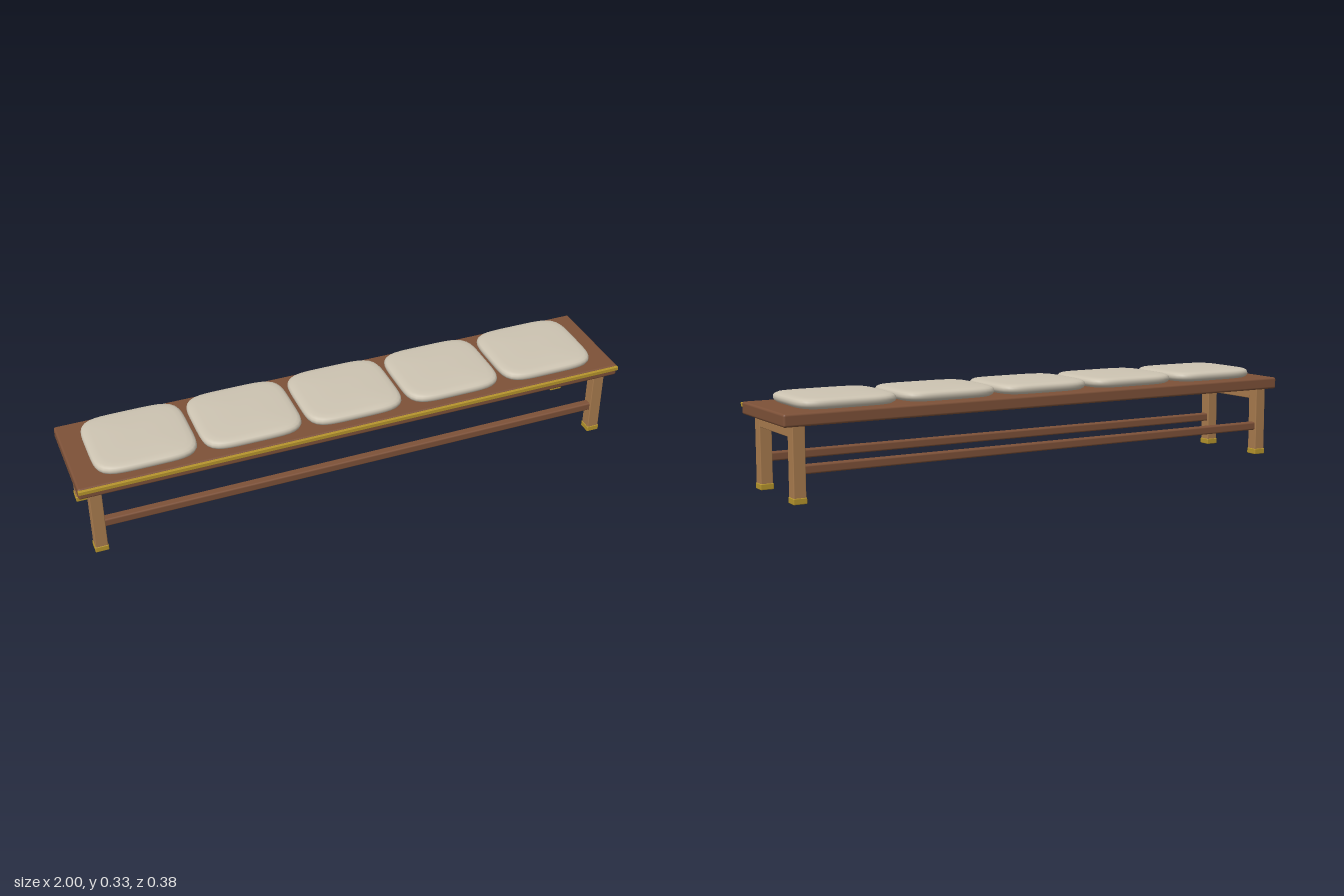
import * as THREE from 'three';
import { mergeVertices } from 'three/addons/utils/BufferGeometryUtils.js';
import { RoundedBoxGeometry } from 'three/addons/geometries/RoundedBoxGeometry.js';

const mat = (name, color) => {
  const m = new THREE.MeshStandardMaterial({ color });
  m.name = name;
  return m;
};

// Padded square: a lathed edge profile stretched onto a superellipse plan
function cushionGeometry(halfX, halfZ) {
  const profile = [
    [0, 0], [0.85, 0], [0.93, 0.003], [0.98, 0.009], [1, 0.017], [0.995, 0.025],
    [0.97, 0.031], [0.92, 0.035], [0.82, 0.037], [0.5, 0.039], [0, 0.04],
  ].map(([r, y]) => new THREE.Vector2(r, y));
  let geo = new THREE.LatheGeometry(profile, 64);
  const p = geo.attributes.position;
  const n = 5;
  for (let i = 0; i < p.count; i++) {
    const x = p.getX(i), z = p.getZ(i);
    const r = Math.hypot(x, z);
    if (r < 1e-6) continue;
    const k = 1 / Math.pow(Math.pow(Math.abs(x / r), n) + Math.pow(Math.abs(z / r), n), 1 / n);
    p.setX(i, x * k * halfX);
    p.setZ(i, z * k * halfZ);
  }
  geo.deleteAttribute('uv');
  geo.deleteAttribute('normal');
  geo = mergeVertices(geo, 1e-5);
  geo.computeVertexNormals();
  return geo;
}

export function createModel() {
  const group = new THREE.Group();
  group.name = 'bench';
  const darkWood = mat('dark wood', 0x7d5138);
  const lightWood = mat('light wood', 0xa87b4e);
  const brass = mat('brass', 0xb5942c);
  const fabric = mat('cream fabric', 0xcdc4b2);

  const box = (name, material, [w, h, d], [x, y, z], radius) => {
    const mesh = new THREE.Mesh(new RoundedBoxGeometry(w, h, d, 3, radius), material);
    mesh.name = name;
    mesh.position.set(x, y, z);
    group.add(mesh);
  };

  // Seat plank and the brass strip along its front edge
  box('seat', darkWood, [2, 0.043, 0.375], [0, 0.2735, -0.0025], 0.008);
  box('frontTrim', brass, [2, 0.014, 0.014], [0, 0.284, 0.187], 0.0015);

  // Leg frames with brass feet
  const legX = 0.942, midZ = -0.003, legZ = 0.145;
  for (const sx of [-1, 1]) {
    box('legRail', lightWood, [0.04, 0.04, 0.325], [sx * legX, 0.233, midZ], 0.003);
    for (const sz of [-1, 1]) {
      const z = midZ + sz * legZ;
      box('leg', lightWood, [0.043, 0.25, 0.043], [sx * legX, 0.13, z], 0.003);
      box('foot', brass, [0.047, 0.021, 0.047], [sx * legX, 0.0105, z], 0.003);
    }
  }

  // Long stretchers between the legs
  for (const sz of [-1, 1]) {
    box('stretcher', darkWood, [1.86, 0.03, 0.03], [0, 0.109, midZ + sz * legZ], 0.006);
  }

  // Row of five cushions
  const cushion = cushionGeometry(0.179, 0.159);
  for (let i = -2; i <= 2; i++) {
    const mesh = new THREE.Mesh(cushion, fabric);
    mesh.name = 'cushion';
    mesh.position.set(i * 0.373 - 0.002, 0.294, 0.004);
    group.add(mesh);
  }
  return group;
}
